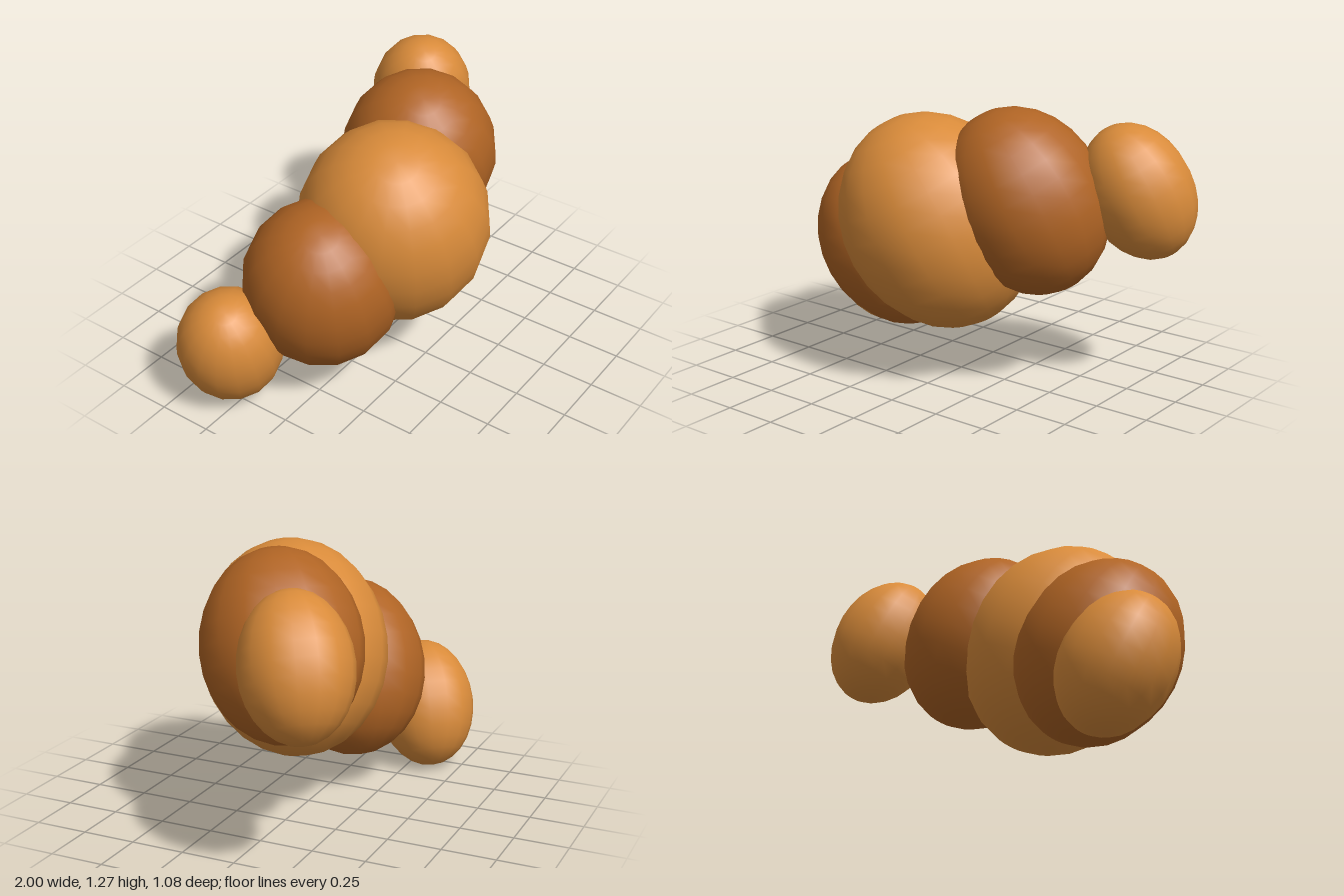
import * as THREE from 'three';

export function createModel() {
  const group = new THREE.Group();
  const light = new THREE.MeshStandardMaterial({ color: 0xd98b3a });
  light.name = 'light orange';
  const dark = new THREE.MeshStandardMaterial({ color: 0xb06424 });
  dark.name = 'brown orange';

  const ball = new THREE.SphereGeometry(1, 16, 14);
  const lean = THREE.MathUtils.degToRad(22); // slope of the chain
  const tip = THREE.MathUtils.degToRad(16); // tops lean forward

  // Egg-shaped segment: girth is the side radius, height the long radius
  function segment(name, material, position, girth, height) {
    const mesh = new THREE.Mesh(ball, material);
    mesh.name = name;
    mesh.position.set(...position);
    mesh.rotation.set(tip, 0, lean, 'ZXY');
    mesh.scale.set(girth, height, girth);
    group.add(mesh);
  }

  // Curved row of five segments rising towards +x
  segment('rightEndSegment', light, [-0.75, 0.303, -0.297], 0.239, 0.317);
  segment('rightSegment', dark, [-0.415, 0.555, -0.03], 0.359, 0.433);
  segment('middleSegment', light, [-0.055, 0.73, 0.1], 0.434, 0.507);
  segment('leftSegment', dark, [0.335, 0.855, -0.03], 0.359, 0.433);
  segment('leftEndSegment', light, [0.75, 0.91, -0.297], 0.239, 0.317);

  return group;
}
